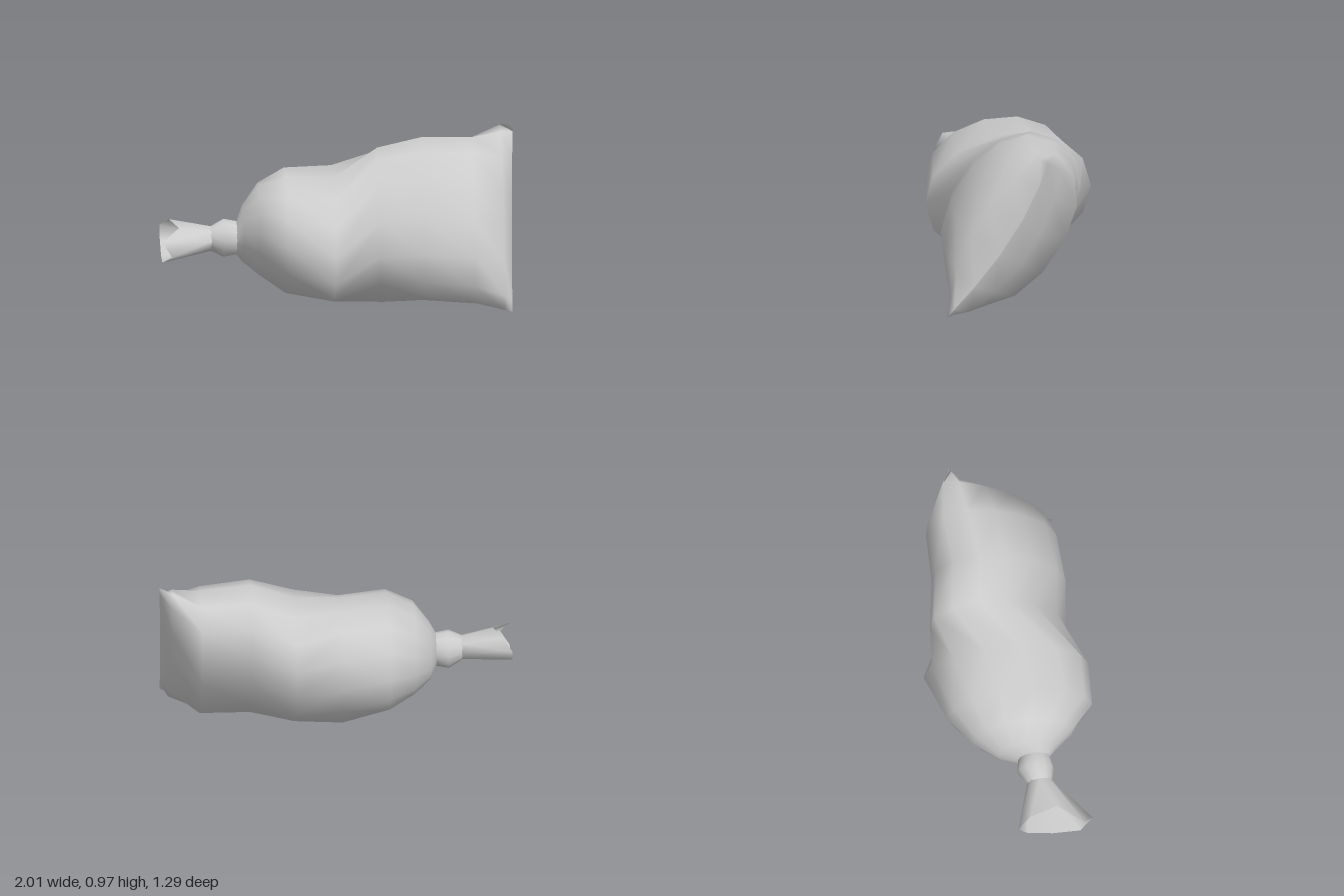
import * as THREE from 'three';

// The sack lies along AXIS; SIDE is its horizontal cross direction.
const AXIS = new THREE.Vector3(0.935, 0, -0.355);
const SIDE = new THREE.Vector3(0.355, 0, 0.935);

// Skin a surface over oval rings: [along, side, height, halfTall, halfWide, tilt, power].
// A power below 1 squares the oval, above 1 points it.
function loft(name, rings, sides, warp = null) {
  const pos = [], index = [];
  rings.forEach(([a, s, y, tall, wide, tilt = 0, power = 1], i) => {
    const soft = v => Math.sign(v) * Math.abs(v) ** power;
    for (let j = 0; j < sides; j++) {
      const u = (j / sides) * Math.PI * 2;
      const m = tall * soft(Math.cos(u)), n = wide * soft(Math.sin(u));
      const p = {
        a,
        s: s - m * Math.sin(tilt) + n * Math.cos(tilt),
        y: y + m * Math.cos(tilt) + n * Math.sin(tilt),
      };
      if (warp) warp(p, i, j, u);
      const v = AXIS.clone().multiplyScalar(p.a).addScaledVector(SIDE, p.s);
      pos.push(v.x, Math.max(0, p.y), v.z);
      if (i < rings.length - 1) {
        const k = (j + 1) % sides, o = i * sides, q = o + sides;
        index.push(o + j, o + k, q + k, o + j, q + k, q + j);
      }
    }
  });
  const geo = new THREE.BufferGeometry();
  geo.setAttribute('position', new THREE.Float32BufferAttribute(pos, 3));
  geo.setIndex(index);
  geo.computeVertexNormals();
  const mesh = new THREE.Mesh(geo, new THREE.MeshStandardMaterial({ color: 0xcccccc, side: THREE.DoubleSide }));
  mesh.name = name;
  return mesh;
}

export function createModel() {
  const group = new THREE.Group();
  group.name = 'tiedSack';

  // Full body, twisting at the middle and flattening into a slanted seam
  group.add(loft('sackBody', [
    [-0.607, 0.03, 0.38, 0.095, 0.09],
    [-0.57, -0.01, 0.395, 0.165, 0.165],
    [-0.48, -0.015, 0.42, 0.26, 0.285, -0.1],
    [-0.33, -0.015, 0.41, 0.335, 0.415, -0.24, 0.95],
    [-0.06, -0.06, 0.38, 0.355, 0.475, -0.28, 0.95],
    [0.2, -0.07, 0.415, 0.46, 0.335, 0.6, 0.93],
    [0.45, -0.035, 0.465, 0.48, 0.32, 0.56, 0.92],
    [0.735, -0.04, 0.45, 0.5, 0.298, 0.58, 0.95],
    [0.9, 0, 0.475, 0.555, 0.17, 0.55, 1.15],
    [0.957, 0.042, 0.485, 0.565, 0, 0.544],
  ], 14, (p, i, j, u) => {
    // the seam leans with height and bows toward the back
    if (i === 9) { p.a += 0.015 * Math.cos(u); p.s -= 0.08 * Math.sin(u) ** 2; }
  }));

  // Bulging tie around the neck
  group.add(loft('neckTie', [
    [-0.755, 0.045, 0.38, 0.07, 0.07],
    [-0.68, 0.03, 0.38, 0.11, 0.105],
    [-0.6, 0.03, 0.38, 0.095, 0.09],
  ], 12));

  // Flared open mouth with a notch in its rim
  group.add(loft('sackMouth', [
    [-1.035, 0.1, 0.38, 0.09, 0.22, -0.22],
    [-0.745, 0.045, 0.38, 0.07, 0.07],
  ], 8, (p, i, j) => {
    if (i > 0) return;
    if (j === 0) { p.a += 0.1; p.y -= 0.01; }
    if (j === 2 || j === 7) p.a += 0.05;
  }));

  return group;
}
